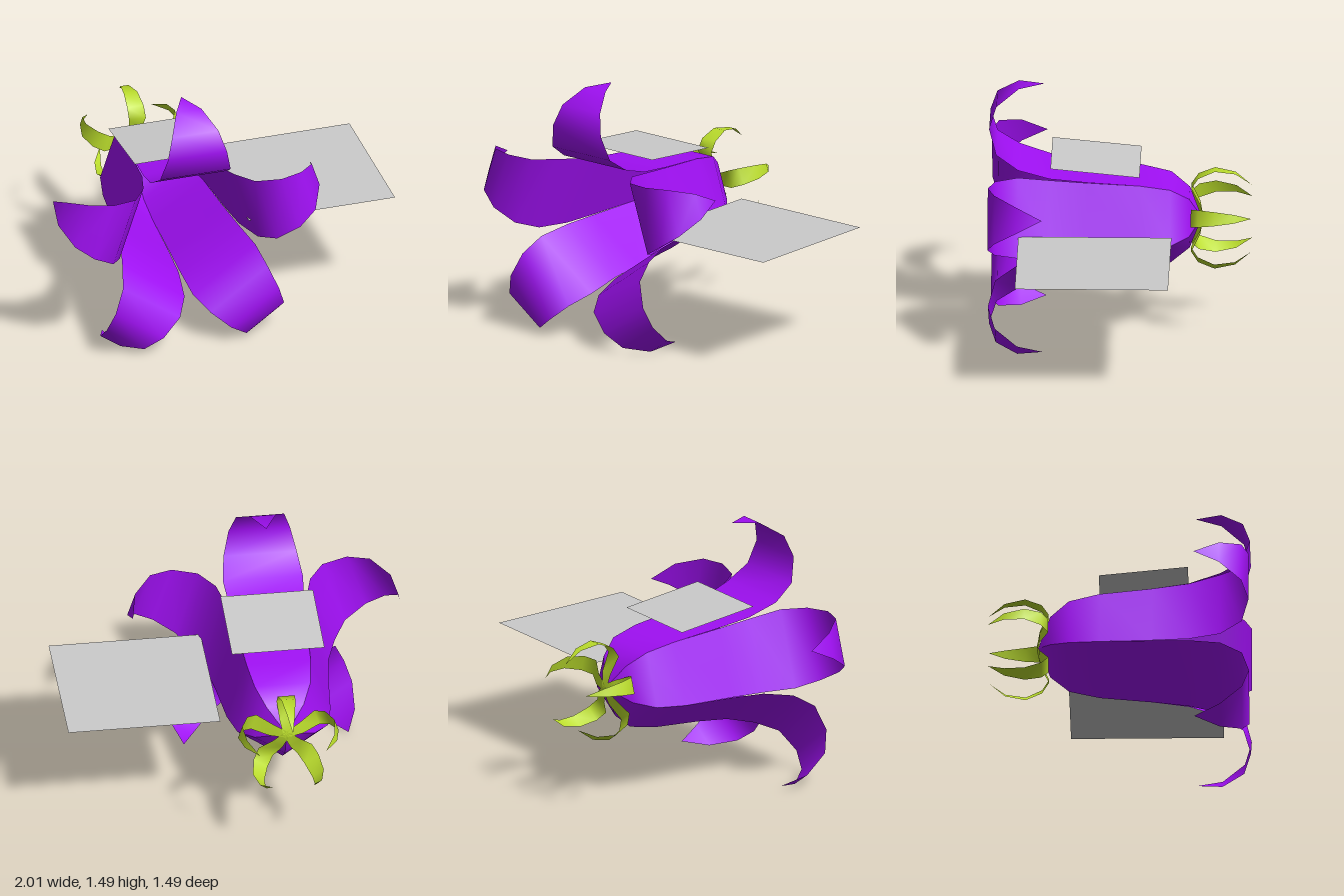
import * as THREE from 'three';

const AXIS_X = -0.228, AXIS_Y = 0.685, COUNT = 5;

// Stations along a blade: [z, distance from the flower axis, half width]
const PETAL = [
  [-0.46, 0, 0], [-0.39, 0.147, 0.107], [-0.283, 0.22, 0.16], [-0.108, 0.253, 0.184],
  [0.19, 0.277, 0.2], [0.4, 0.302, 0.214], [0.58, 0.358, 0.229], [0.705, 0.443, 0.21],
  [0.745, 0.585, 0.176], [0.705, 0.707, 0.138], [0.58, 0.793, 0.075], [0.434, 0.802, 0],
];
const SEPAL = [
  [-0.467, 0, 0.02], [-0.45, 0.09, 0.038], [-0.4, 0.19, 0.05], [-0.44, 0.25, 0.049],
  [-0.534, 0.29, 0.04], [-0.65, 0.27, 0.024], [-0.743, 0.2, 0],
];

// Thin strip, straight across its width and smooth along its length
function bladeGeometry(stations) {
  const positions = [], index = [];
  stations.forEach(([z, r, w], i) => {
    positions.push(-w, r, z, w, r, z);
    if (i === 0) return;
    const a = 2 * (i - 1);
    index.push(a, a + 2, a + 1, a + 1, a + 2, a + 3);
  });
  const geometry = new THREE.BufferGeometry();
  geometry.setAttribute('position', new THREE.Float32BufferAttribute(positions, 3));
  geometry.setIndex(index);
  geometry.computeVertexNormals();
  return geometry;
}

function material(color) {
  return new THREE.MeshStandardMaterial({ color, side: THREE.DoubleSide });
}

// Ring of identical blades around the flower axis
function whorl(name, part, stations, color) {
  const group = new THREE.Group();
  group.name = name;
  const geometry = bladeGeometry(stations), mat = material(color);
  for (let i = 0; i < COUNT; i++) {
    const blade = new THREE.Mesh(geometry, mat);
    blade.name = part + (i + 1);
    blade.rotation.z = (i * 2 * Math.PI) / COUNT;
    group.add(blade);
  }
  group.position.set(AXIS_X, AXIS_Y, 0);
  return group;
}

// Flat sheet facing up, with an optional tilt about x
function sheet(name, width, depth, x, y, z, tilt = 0) {
  const geometry = new THREE.PlaneGeometry(width, depth).rotateX(-Math.PI / 2 + tilt);
  const mesh = new THREE.Mesh(geometry, material(0xcccccc));
  mesh.name = name;
  mesh.position.set(x, y, z);
  return mesh;
}

export function createModel() {
  const model = new THREE.Group();
  model.name = 'flower';
  model.add(
    whorl('petals', 'petal', PETAL, 0xa010f4),
    whorl('calyx', 'sepal', SEPAL, 0xbbdd2c),
    // Small sheet rises towards the front; large sheet lies level beside the flower
    sheet('smallSheet', 0.53, 0.508, -0.226, 1.043, 0.142, -0.097),
    sheet('largeSheet', 0.87, 0.87, 0.565, 0.69, 0.14),
  );
  return model;
}
